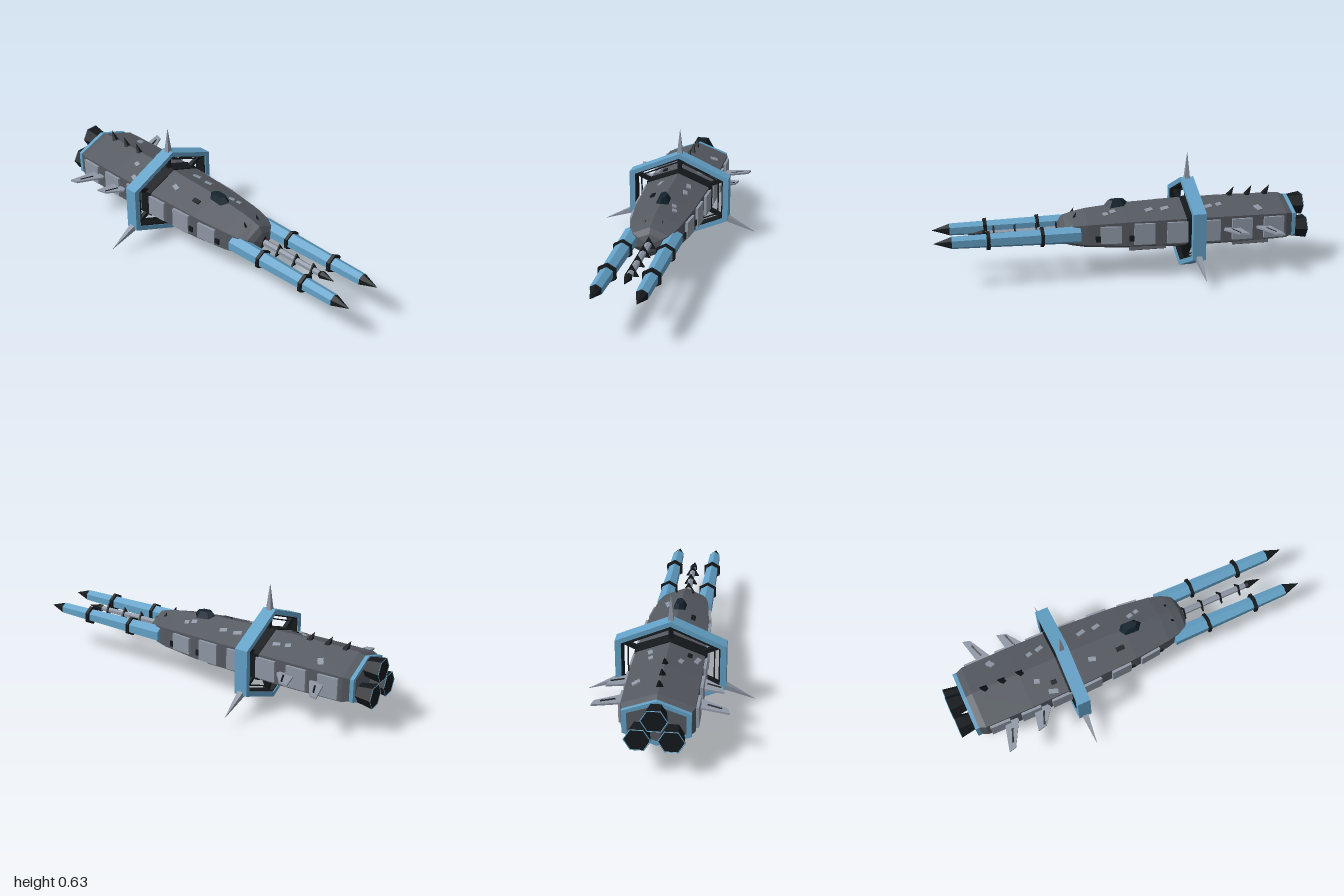
import * as THREE from 'three';

const mat = (color) => new THREE.MeshStandardMaterial({ color, flatShading: true, side: THREE.DoubleSide });
const BLUE = mat(0x64a2c8), BLACK = mat(0x15191c), HULL = mat(0x555a61), LIGHT = mat(0x8f98a6), GLASS = mat(0x14232e);
const CY = 0.25; // height of the long axis

// Hull stations: z, half width, half height
const STATIONS = [
  [0.345, 0.02, 0.015], [0.335, 0.06, 0.05], [0.315, 0.092, 0.08], [0.27, 0.117, 0.094], [0.2, 0.134, 0.108],
  [0, 0.157, 0.127], [-0.3, 0.172, 0.138], [-0.6, 0.178, 0.138], [-0.86, 0.176, 0.133], [-0.91, 0.155, 0.112],
];

function hullAt(z) {
  for (let i = 1; i < STATIONS.length; i++) {
    const [z0, w0, h0] = STATIONS[i - 1], [z1, w1, h1] = STATIONS[i];
    if (z >= z1) {
      const t = (z0 - z) / (z0 - z1);
      return { w: w0 + (w1 - w0) * t, h: h0 + (h1 - h0) * t };
    }
  }
  return { w: 0.155, h: 0.112 };
}

export function createModel() {
  const model = new THREE.Group();
  model.name = 'spaceship';
  model.position.x = 0.005;

  const add = (name, geometry, material, x = 0, y = 0, z = 0) => {
    const m = new THREE.Mesh(geometry, material);
    m.name = name;
    m.position.set(x, y, z);
    model.add(m);
    return m;
  };

  // Prism along z, from zBack to zFront, with a corner at the bottom
  const prism = (name, rBack, rFront, zBack, zFront, material, x = 0, y = CY, sides = 6, turn = 0) => {
    const g = new THREE.CylinderGeometry(rFront, rBack, zFront - zBack, sides, 1, false, turn);
    return add(name, g.rotateX(Math.PI / 2), material, x, y, (zBack + zFront) / 2);
  };

  // Tapered bar between two points
  const bar = (name, a, b, rA, rB, material, sides = 4) => {
    const p = new THREE.Vector3(...a), q = new THREE.Vector3(...b);
    const m = add(name, new THREE.CylinderGeometry(rB, rA, p.distanceTo(q), sides, 1, false, Math.PI / 4), material);
    m.position.copy(p).lerp(q, 0.5);
    m.quaternion.setFromUnitVectors(new THREE.Vector3(0, 1, 0), q.sub(p).normalize());
    return m;
  };

  // Hexagon outline with points at top and bottom
  const hexPoints = (w, h) => [[0, h], [-w, h / 2], [-w, -h / 2], [0, -h], [w, -h / 2], [w, h / 2]]
    .map(([x, y]) => new THREE.Vector2(x, y));
  const hexRing = (name, w, h, inW, inH, zBack, zFront, material) => {
    const shape = new THREE.Shape(hexPoints(w, h));
    shape.holes.push(new THREE.Path(hexPoints(inW, inH)));
    const g = new THREE.ExtrudeGeometry(shape, { depth: zFront - zBack, bevelEnabled: false });
    return add(name, g, material, 0, CY, zBack);
  };

  // Six-sided hull: a prism whose rows follow the stations
  const rows = STATIONS.length - 1;
  const hull = new THREE.CylinderGeometry(1, 1, 1, 6, rows);
  const pos = hull.attributes.position;
  for (let i = 0; i < pos.count; i++) {
    const [z, w, h] = STATIONS[Math.round((0.5 - pos.getY(i)) * rows)];
    pos.setXYZ(i, (pos.getX(i) * w) / 0.866, z, pos.getZ(i) * h);
  }
  add('hull', hull.rotateX(Math.PI / 2), HULL, 0, CY, 0);
  hexRing('rearBand', 0.164, 0.122, 0.14, 0.1, -0.915, -0.895, BLUE);
  hexRing('hullCollar', 0.18, 0.143, 0.15, 0.115, -0.395, -0.315, BLACK);

  // Ring frame around the hull
  hexRing('ringFrame', 0.281, 0.248, 0.25, 0.221, -0.39, -0.32, BLUE);
  hexRing('ringLining', 0.251, 0.222, 0.243, 0.213, -0.385, -0.325, BLACK);
  hexRing('innerWireFrame', 0.222, 0.196, 0.216, 0.19, -0.36, -0.35, BLACK);
  const zr = -0.355;
  for (const p of hexPoints(1, 1)) {
    bar('ringStrut', [p.x * 0.12, CY + p.y * 0.1, zr], [p.x * 0.25, CY + p.y * 0.221, zr], 0.015, 0.015, BLACK);
  }
  bar('keelStrut', [0, 0.13, zr], [0, 0.025, zr], 0.045, 0.006, BLACK);
  bar('ringSpike', [0, 0.48, zr], [0, 0.63, zr], 0.022, 0.001, LIGHT);
  for (const s of [-1, 1]) bar('ringSpike', [s * 0.262, 0.137, zr], [s * 0.428, 0.064, zr], 0.024, 0.001, LIGHT);

  // Centre probe
  prism('probeRod', 0.018, 0.016, 0.33, 0.72, LIGHT);
  for (const z of [0.35, 0.455, 0.567, 0.677]) prism('probeDisc', 0.042, 0.042, z - 0.004, z + 0.004, BLACK, 0, CY, 3, Math.PI);
  prism('probeTipBase', 0.01, 0.022, 0.705, 0.735, BLACK);
  prism('probeTip', 0.022, 0.001, 0.735, 0.81, BLACK);

  for (const s of [-1, 1]) {
    // Long forward barrels with collars and pointed tips
    const x = s * 0.11;
    prism('barrel', 0.047, 0.033, 0.24, 0.9, BLUE, x);
    prism('barrelTip', 0.032, 0.001, 0.9, 0.99, BLACK, x);
    prism('barrelCollar', 0.054, 0.054, 0.43, 0.447, BLACK, x);
    prism('barrelCollar', 0.052, 0.052, 0.706, 0.724, BLACK, x);

    // Side panels with small ports below the gaps
    for (let i = 0; i < 6; i++) {
      const z = 0.083 - i * 0.174, w = hullAt(z).w, h = i === 0 ? 0.09 : 0.112;
      const panel = add('sidePanel', new THREE.BoxGeometry(0.02, h, 0.11), LIGHT, s * (w + 0.004), CY, z);
      panel.rotation.y = s * Math.atan2(hullAt(z - 0.05).w - hullAt(z + 0.05).w, 0.1) * -1;
      if (i < 2) add('sidePort', new THREE.BoxGeometry(0.012, 0.03, 0.03), BLACK, s * (hullAt(z + 0.065).w + 0.002), 0.228, z + 0.065);
    }

    // Swept side fins with a dark slit
    const fins = [
      [[0.16, -0.76], [0.33, -0.8], [0.32, -0.76], [0.19, -0.69], [0.16, -0.7]],
      [[0.16, -0.595], [0.29, -0.62], [0.277, -0.57], [0.195, -0.51], [0.16, -0.53]],
    ];
    for (const outline of fins) {
      const shape = new THREE.Shape(outline.map(([a, b]) => new THREE.Vector2(s * a, b)));
      const g = new THREE.ExtrudeGeometry(shape, { depth: 0.01, bevelEnabled: false }).rotateX(Math.PI / 2);
      add('sideFin', g, LIGHT, 0, CY + 0.008, 0);
      const [tip, root] = [outline[2], outline[3]];
      const slit = [(tip[0] + root[0]) / 2, (tip[1] + root[1]) / 2 - 0.025];
      bar('finSlit', [s * (slit[0] - 0.035), CY + 0.003, slit[1] + 0.012], [s * (slit[0] + 0.035), CY + 0.003, slit[1] - 0.015], 0.009, 0.009, BLACK);
    }

    // Pods under the belly, lying along the sloping facets
    for (const z of [-0.13, -0.7]) {
      const { w, h } = hullAt(z);
      const pod = add('bellyPod', new THREE.BoxGeometry(0.05, 0.028, 0.19), HULL, s * 0.057, CY - h * (1 - 0.0285 / w) - 0.002, z);
      pod.rotation.z = s * Math.atan2(h / 2, w);
    }

    // Small nose horns
    bar('noseHorn', [s * 0.045, 0.315, 0.265], [s * 0.045, 0.35, 0.25], 0.011, 0.001, BLACK);
  }

  // Faceted canopy
  const canopy = new THREE.CylinderGeometry(0.45, 1, 1, 6);
  canopy.scale(0.047, 0.055, 0.092);
  add('canopy', canopy, GLASS, 0, 0.3685, 0.03).rotation.x = 0.05;

  // Dorsal spikes, leaning back
  for (const z of [-0.6, -0.7, -0.8]) bar('dorsalSpike', [0, 0.375, z + 0.012], [0, 0.427, z - 0.015], 0.02, 0.001, BLACK, 5);

  // Three six-sided engine nozzles
  for (const [x, y] of [[0, 0.316], [-0.08, 0.209], [0.08, 0.209]]) {
    prism('nozzle', 0.064, 0.046, -0.995, -0.89, BLACK, x, y, 6, Math.PI / 6);
    const rim = add('nozzleRim', new THREE.TorusGeometry(0.063, 0.003, 4, 6), BLUE, x, y, -0.995);
    rim.scale.z = 0.7;
  }

  // Small plates scattered on the upper facets: x, z, length, is dark
  const plates = [
    [-0.075, -0.22, 0.04], [0.08, -0.215, 0.045], [-0.08, -0.06, 0.045, 1], [0.08, -0.13, 0.04],
    [0.063, 0.06, 0.03], [0.074, 0.1, 0.025], [-0.105, -0.45, 0.03, 1], [-0.145, -0.47, 0.05],
    [0.08, -0.51, 0.03], [-0.07, -0.53, 0.03], [0.13, -0.72, 0.03], [0.115, -0.71, 0.03], [0.09, -0.45, 0.04],
  ];
  for (const [x, z, len, dark] of plates) {
    const { w, h } = hullAt(z);
    const plate = add('hullPlate', new THREE.BoxGeometry(0.024, 0.012, len), dark ? BLACK : LIGHT, x, CY + h * (1 - Math.abs(x) / (2 * w)), z);
    plate.rotation.set(0, dark ? 0 : Math.sign(x) * 0.3, -Math.sign(x) * Math.atan2(h / 2, w), 'ZYX');
  }

  return model;
}
